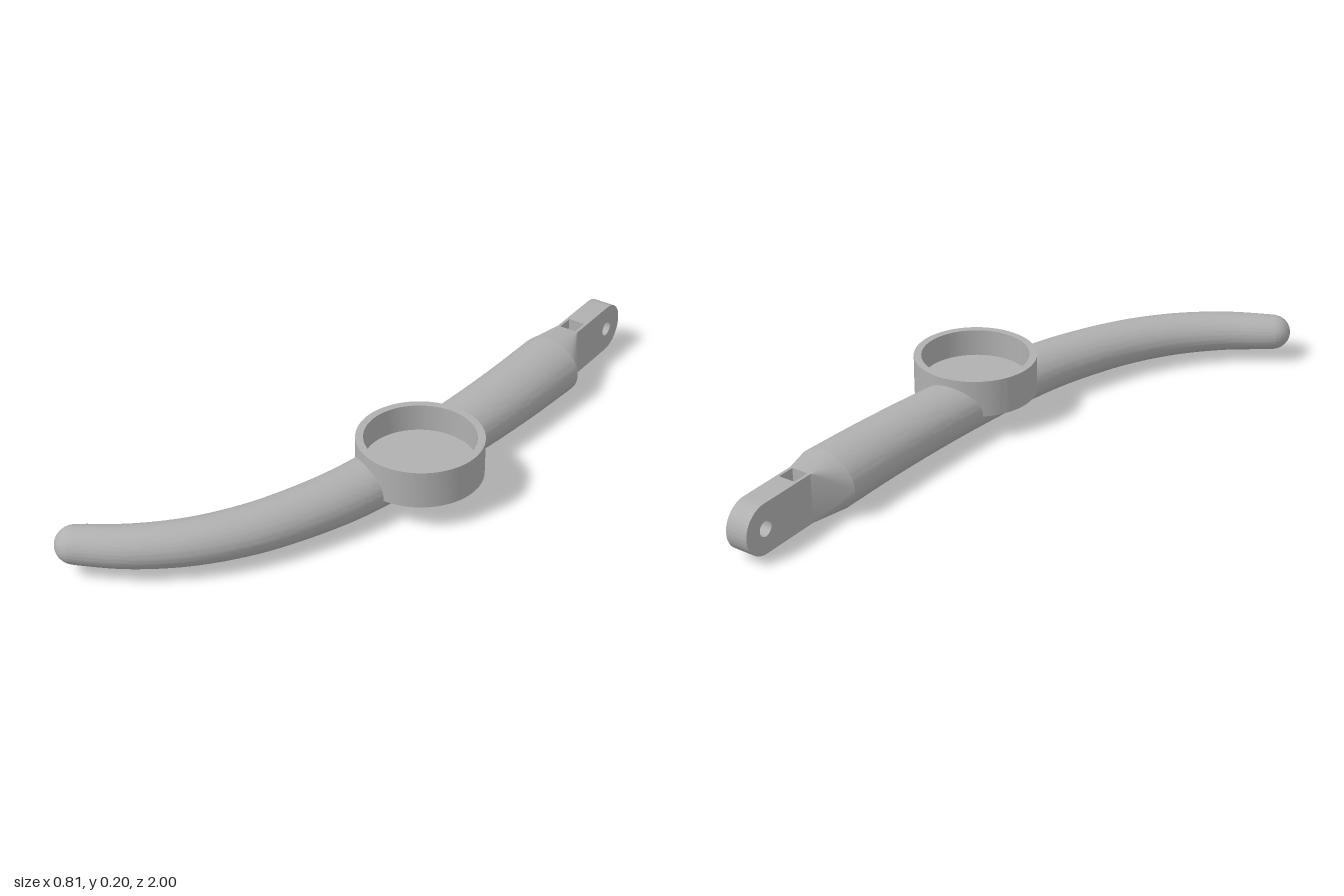
import * as THREE from 'three';
import { toCreasedNormals } from 'three/addons/utils/BufferGeometryUtils.js';

const CUP = { x: 0.219, z: 0.087, outer: 0.188, inner: 0.165, bottom: 0.088, floor: 0.12, top: 0.205 };
const SLOT = { x0: 0.205, x1: 0.26, z0: -0.08, z1: 0.18, bottom: 0.073 };
const MID_Y = 0.096;
const TONGUE = { x: 0.232, half: 0.036, z: -0.727, y0: 0.018, y1: 0.175 };
const QUARTER = 16;

// Joins equally long rings of points into one skin
function skin(rings) {
  const n = rings[0].length;
  const index = [];
  for (let i = 0; i < rings.length - 1; i++) {
    for (let j = 0; j < n; j++) {
      const k = (j + 1) % n;
      const a = i * n + j, b = i * n + k, c = (i + 1) * n + k, d = (i + 1) * n + j;
      index.push(a, b, c, a, c, d);
    }
  }
  const geometry = new THREE.BufferGeometry().setFromPoints(rings.flat());
  geometry.setIndex(index);
  return toCreasedNormals(geometry, 0.5);
}

// Elliptical ring; each quarter keeps both its end points
function ellipseRing(centre, side, w, h) {
  const ring = [];
  for (let q = 0; q < 4; q++) {
    for (let s = 0; s <= QUARTER; s++) {
      const a = (q + s / QUARTER) * Math.PI / 2;
      ring.push(centre.clone().addScaledVector(side, w * Math.cos(a))
        .add(new THREE.Vector3(0, h * Math.sin(a), 0)));
    }
  }
  return ring;
}

// Rings along the curved, tapering arm, closed by a rounded tip
function armRings() {
  const path = new THREE.CatmullRomCurve3([
    [0.232, -0.62], [0.222, -0.4], [0.2, -0.15], [0.165, 0.1], [0.125, 0.3],
    [0.075, 0.45], [0, 0.61], [-0.1, 0.75], [-0.22, 0.86], [-0.35, 0.94],
  ].map(([x, z]) => new THREE.Vector3(x, MID_Y, z)));
  const up = new THREE.Vector3(0, 1, 0);
  const rings = [];
  const steps = 200;
  for (let i = 0; i <= steps; i++) {
    const t = i / steps;
    const grow = Math.pow(1 - t, 0.75);
    const side = up.clone().cross(path.getTangentAt(t)).normalize();
    rings.push(ellipseRing(path.getPointAt(t), side, 0.058 + 0.049 * grow, 0.055 + 0.038 * grow));
  }
  const end = path.getPointAt(1), dir = path.getTangentAt(1);
  const side = up.clone().cross(dir).normalize();
  for (let i = 1; i <= 12; i++) {
    const a = i / 12 * Math.PI / 2;
    const c = end.clone().addScaledVector(dir, 0.058 * Math.sin(a));
    rings.push(ellipseRing(c, side, 0.058 * Math.cos(a), 0.055 * Math.cos(a)));
  }
  return rings;
}

// Sinks the arm's skin below the cup floor, and deeper under the slot
function carve(p) {
  if (Math.hypot(p.x - CUP.x, p.z - CUP.z) > 0.176) return;
  const m = 0.005;
  const inSlot = p.x > SLOT.x0 - m && p.x < SLOT.x1 + m && p.z > SLOT.z0 - m && p.z < SLOT.z1 + m;
  p.y = Math.min(p.y, inSlot ? SLOT.bottom : 0.11);
}

// Side profile of the hinge tongue, drawn in z and y
function tongueLayer(x0, x1, pocket) {
  const r = (TONGUE.y1 - TONGUE.y0) / 2, cy = TONGUE.y0 + r, cz = -1 + r;
  const s = new THREE.Shape();
  s.moveTo(TONGUE.z, TONGUE.y0);
  s.lineTo(TONGUE.z, TONGUE.y1);
  if (pocket) {
    s.lineTo(-0.729, TONGUE.y1);
    s.lineTo(-0.729, 0.12);
    s.lineTo(-0.785, 0.12);
    s.lineTo(-0.785, TONGUE.y1);
  }
  s.lineTo(cz, TONGUE.y1);
  s.absarc(cz, cy, r, Math.PI / 2, Math.PI * 1.5, false);
  s.lineTo(TONGUE.z, TONGUE.y0);
  s.holes.push(new THREE.Path().absarc(cz, cy, 0.024, 0, Math.PI * 2, true));
  const g = new THREE.ExtrudeGeometry(s, { depth: x1 - x0, bevelEnabled: false, curveSegments: 32 });
  return toCreasedNormals(g.rotateY(-Math.PI / 2).translate(x1, 0, 0), 0.5);
}

export function createModel() {
  const group = new THREE.Group();
  const grey = new THREE.MeshStandardMaterial({ color: 0xb0b0b0 });
  grey.name = 'grey';
  const add = (name, geometry, parent = group) => {
    const mesh = new THREE.Mesh(geometry, grey);
    mesh.name = name;
    parent.add(mesh);
  };

  // Arm
  const rings = armRings();
  const firstRing = rings[0].map((p) => p.clone());
  rings.flat().forEach(carve);
  add('arm', skin(rings));

  // Neck: every quarter of the arm's end runs to one corner of the tongue
  const corners = [[1, 1], [-1, 1], [-1, 0], [1, 0]];
  const square = firstRing.map((p, i) => {
    const [sx, top] = corners[Math.floor(i / (QUARTER + 1))];
    return new THREE.Vector3(TONGUE.x + sx * TONGUE.half, top ? TONGUE.y1 : TONGUE.y0, TONGUE.z);
  });
  add('neck', skin([square, firstRing]));

  // Hinge tongue: a pocketed core between two cheeks
  const tongue = new THREE.Group();
  tongue.name = 'hingeTongue';
  const x = TONGUE.x, h = TONGUE.half, w = 0.027;
  add('tongueCore', tongueLayer(x - w, x + w, true), tongue);
  add('rightCheek', tongueLayer(x - h, x - w, false), tongue);
  add('leftCheek', tongueLayer(x + w, x + h, false), tongue);
  group.add(tongue);

  // Cup wall
  const wall = new THREE.LatheGeometry([
    [CUP.inner, CUP.bottom], [CUP.outer, CUP.bottom], [CUP.outer, CUP.top],
    [CUP.inner, CUP.top], [CUP.inner, CUP.bottom],
  ].map(([r, y]) => new THREE.Vector2(r, y)), 96);
  add('cupWall', toCreasedNormals(wall.translate(CUP.x, 0, CUP.z), 0.5));

  // Cup floor with its slot
  const disc = new THREE.Shape().absarc(CUP.x, CUP.z, CUP.inner, 0, Math.PI * 2, false);
  disc.holes.push(new THREE.Path([
    [SLOT.x0, SLOT.z0], [SLOT.x0, SLOT.z1], [SLOT.x1, SLOT.z1], [SLOT.x1, SLOT.z0],
  ].map(([a, b]) => new THREE.Vector2(a, b))));
  const floor = new THREE.ExtrudeGeometry(disc, {
    depth: CUP.floor - CUP.bottom, bevelEnabled: false, curveSegments: 96,
  });
  add('cupFloor', toCreasedNormals(floor.rotateX(Math.PI / 2).translate(0, CUP.floor, 0), 0.5));

  return group;
}
